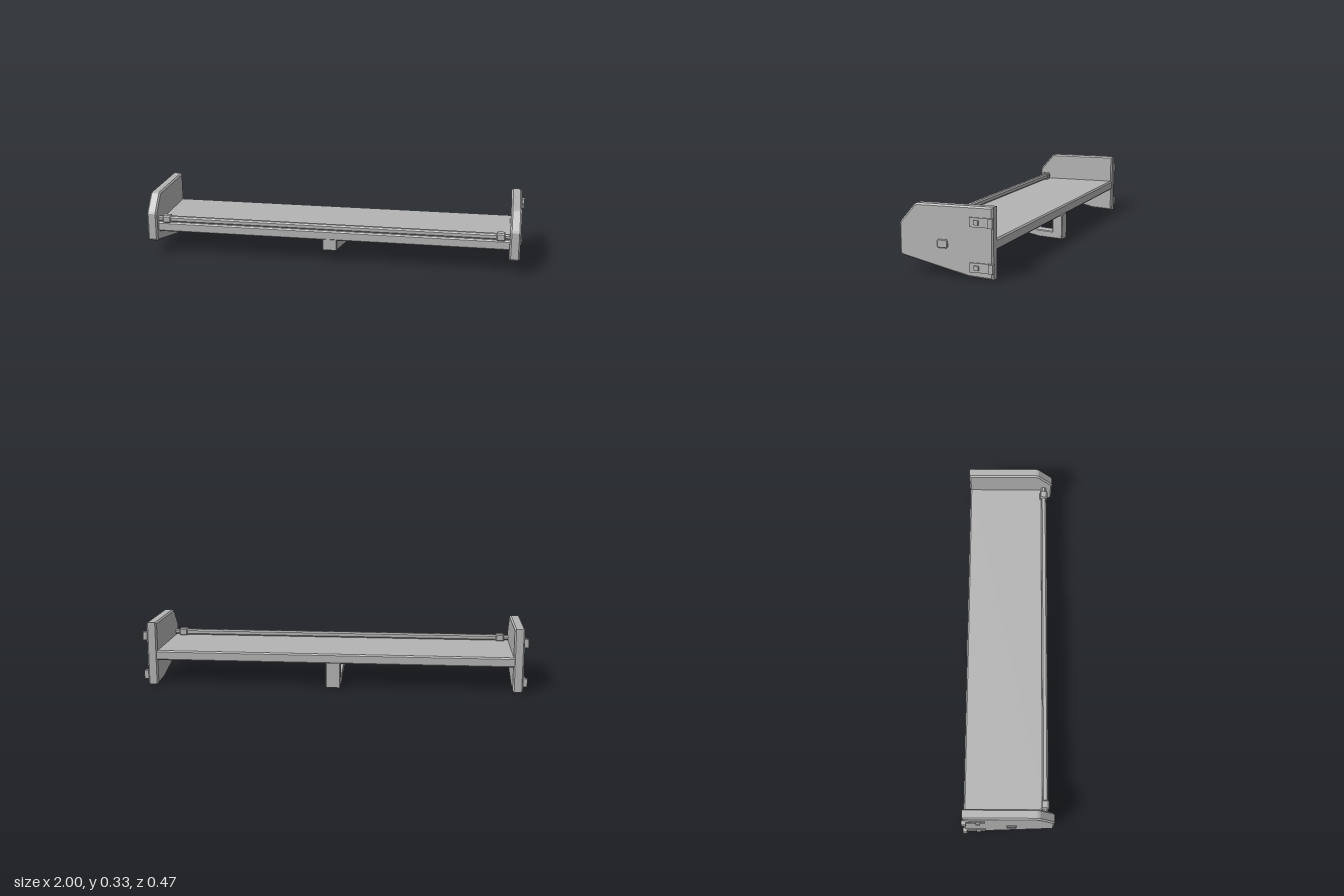
import * as THREE from 'three';

export function createModel() {
  const model = new THREE.Group();
  const grey = new THREE.MeshStandardMaterial({ color: 0xb4b4b4 });
  grey.name = 'grey';

  const add = (name, geometry, parent = model) => {
    const mesh = new THREE.Mesh(geometry, grey);
    mesh.name = name;
    parent.add(mesh);
    return mesh;
  };

  // Box given by its minimum and maximum corners
  const box = (name, a, b, parent) => {
    const size = b.map((v, i) => v - a[i]);
    const mesh = add(name, new THREE.BoxGeometry(...size), parent);
    mesh.position.set(...a.map((v, i) => (v + b[i]) / 2));
    return mesh;
  };

  // Chamfered slab: outline in (z, y), spanning x0 to x1
  const slab = (name, outline, x0, x1, bevel, parent, hole) => {
    const toShape = pts => pts.map(([z, y]) => new THREE.Vector2(-z, y));
    const shape = new THREE.Shape(toShape(outline));
    if (hole) shape.holes.push(new THREE.Path(toShape(hole)));
    const geometry = new THREE.ExtrudeGeometry(shape, {
      depth: x1 - x0 - 2 * bevel, bevelEnabled: true, bevelSegments: 1,
      bevelSize: bevel, bevelThickness: bevel, bevelOffset: -bevel,
    });
    geometry.translate(0, 0, x0 + bevel).rotateY(Math.PI / 2);
    return add(name, geometry, parent);
  };

  // Rectangle outline with cut corners
  const cutRect = (z0, z1, y0, y1, c) => [
    [z0 + c, y0], [z1 - c, y0], [z1, y0 + c], [z1, y1 - c],
    [z1 - c, y1], [z0 + c, y1], [z0, y1 - c], [z0, y0 + c],
  ];

  // Shelf board
  slab('shelf', cutRect(-0.228, 0.205, 0.13, 0.182, 0.007), -0.94, 0.94, 0.002);

  // Guard rail along the front edge
  slab('rail', cutRect(0.172, 0.202, 0.184, 0.214, 0.007), -0.89, 0.89, 0.001);

  // End panels with their fittings, mirrored left and right
  const panelOutline = [
    [0.224, 0.083], [0.234, 0.094], [0.234, 0.234], [0.228, 0.246],
    [0.158, 0.327], [0.145, 0.332], [-0.23, 0.333], [-0.23, 0.001],
    [-0.108, 0.008],
  ];
  for (const side of [1, -1]) {
    const end = new THREE.Group();
    end.name = side > 0 ? 'leftEnd' : 'rightEnd';
    model.add(end);
    // Positions are chosen by mirroring each x span
    const span = (x0, x1) => (side > 0 ? [x0, x1] : [-x1, -x0]);
    const block = (name, x0, x1, y0, y1, z0, z1) => {
      const [a, b] = span(x0, x1);
      return box(name, [a, y0, z0], [b, y1, z1], end);
    };

    slab('endPanel', panelOutline, ...span(0.928, 0.982), 0.008, end);

    // Rail socket and the pin joining it to the panel
    slab('railSocket', cutRect(0.166, 0.208, 0.178, 0.22, 0.007), ...span(0.86, 0.905), 0.005, end);
    slab('railPin', cutRect(0.174, 0.2, 0.186, 0.212, 0.007), ...span(0.9, 0.932), 0.001, end);

    // Two hinge clips at the back of the outer face
    for (const y of [0.054, 0.261]) {
      block('clipPlate', 0.978, 0.988, y - 0.022, y + 0.022, -0.234, -0.118);
      block('clipLip', 0.98, 1, y - 0.022, y + 0.022, -0.234, -0.212);
      block('clipStud', 0.985, 0.996, y - 0.0105, y + 0.0105, -0.163, -0.141);
    }

    // Central button on the outer face
    slab('button', cutRect(-0.009, 0.041, 0.133, 0.172, 0.005), ...span(0.978, 0.991), 0.003, end);
  }

  // Triangular support bracket under the middle of the shelf
  slab('supportBracket',
    [[0.203, 0.135], [0.203, 0.077], [-0.105, 0.012], [-0.234, 0.005], [-0.234, 0.135]],
    -0.038, 0.038, 0.004, model,
    [[0.1, 0.108], [-0.18, 0.108], [-0.18, 0.045], [-0.1, 0.05]]);

  return model;
}
